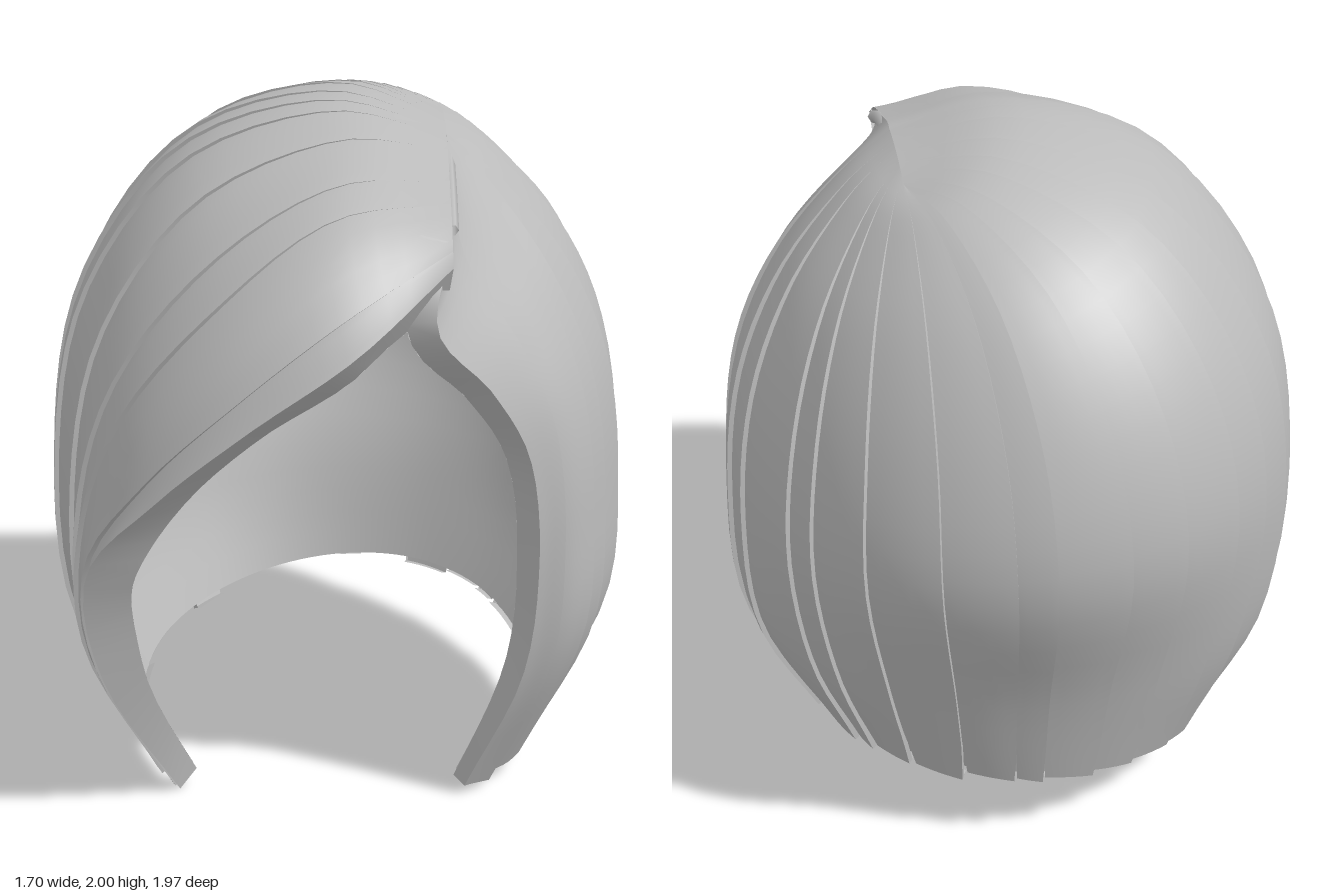
import * as THREE from 'three';
import { mergeGeometries } from 'three/addons/utils/BufferGeometryUtils.js';

const { lerp, smoothstep, clamp } = THREE.MathUtils;
const smooth = (pts) => new THREE.CatmullRomCurve3(pts, false, 'catmullrom', 0.5);
const toPoints = (list) => list.map((p) => new THREE.Vector3(...p));

// The parting runs over the head just left of the middle
const parting = (z) => new THREE.Vector3(0.31 + 0.05 * z, 1.92 - 0.42 * z * z, z);

// Strands that shape the front: fringe edge, fringe swell and left curtain edge
const fringeEdge = [[0.1, 1.5, 0.95], [-0.18, 1.3, 0.98], [-0.43, 1.08, 0.94], [-0.63, 0.82, 0.85], [-0.6, 0.45, 0.74], [-0.43, 0.01, 0.5]];
const fringeSwell = [[0.03, 1.75, 0.74], [-0.25, 1.53, 0.85], [-0.52, 1.22, 0.82], [-0.67, 0.85, 0.7], [-0.67, 0.48, 0.62], [-0.47, 0.02, 0.47]];
const curtainEdge = [[0.31, 1.53, 0.8], [0.46, 1.33, 0.71], [0.57, 1.1, 0.63], [0.6, 0.78, 0.61], [0.56, 0.42, 0.58], [0.4, 0.03, 0.5]];

// Any other strand arcs from the parting to the widest ellipse, then in to the hem ellipse
function strand(a) {
  const x = -Math.cos(a), s = -Math.sin(a);
  const top = parting(0.1 + 0.3 * s);
  const wide = new THREE.Vector3(0.835 * x, 0.96 - 0.06 * x - 0.07 * s, 0.965 * s);
  const hemZ = -0.02 + 0.73 * s;
  const back = Math.max(0, -s);
  const hem = new THREE.Vector3(0.61 * x, 0.09 - 0.17 * hemZ + 0.05 * x * back, hemZ);
  const tilt = x + (1.1 + 0.4 * x) * Math.max(0, s);
  const arc = (out, drop) => new THREE.Vector3(
    lerp(top.x, wide.x, out), lerp(top.y, wide.y, drop), lerp(top.z, wide.z, out));
  const nape = wide.clone().lerp(hem, 0.1 + 0.52 * back * back);
  nape.y = 0.49 + 0.1 * back;
  return [top, arc(0.3, 0.01 + 0.1 * tilt), arc(0.66, 0.2 + 0.13 * tilt), arc(0.91, 0.56 + 0.07 * tilt), wide, nape, hem];
}

const guides = [
  [parting(0.74), ...toPoints(fringeEdge)],
  [parting(0.57), ...toPoints(fringeSwell)],
];
for (let deg = -30; deg <= 210; deg += 24) guides.push(strand(deg * Math.PI / 180));
guides.push([parting(0.66), ...toPoints(curtainEdge)]);
const strands = guides.map(smooth);

// Hair surface: u runs round the head, v runs from the parting to the hem
const rings = new Map();
function surface(u, v) {
  const key = v.toFixed(5);
  if (!rings.has(key)) rings.set(key, smooth(strands.map((c) => c.getPoint(v))));
  return rings.get(key).getPoint(u);
}
function normalAt(u, v) {
  const e = 0.006;
  const cu = clamp(u, e, 1 - e), cv = clamp(v, 0.06, 1 - e);
  const du = surface(cu + e, cv).sub(surface(cu - e, cv));
  const dv = surface(cu, cv + e).sub(surface(cu, cv - e));
  return du.cross(dv).normalize();
}
const offset = (u, v, d) => surface(u, v).addScaledVector(normalAt(u, v), d);

// Hair thickness, fuller along the two front edges and thin at the hem
function depth(u, v) {
  const edge = Math.max(0, 1 - Math.min(u, 1 - u) / 0.06);
  return (0.04 + (u < 0.5 ? 0.08 : 0.05) * edge) * (1 - 0.45 * smoothstep(v, 0.75, 1));
}

// Grid of points f(s, t) to a surface
function sheet(nu, nv, f, flip = false) {
  const pos = [], idx = [];
  for (let j = 0; j <= nv; j++) for (let i = 0; i <= nu; i++) pos.push(...f(i / nu, j / nv).toArray());
  for (let j = 0; j < nv; j++) for (let i = 0; i < nu; i++) {
    const a = j * (nu + 1) + i, b = a + 1, c = a + nu + 1, d = c + 1;
    if (flip) idx.push(a, c, b, b, c, d);
    else idx.push(a, b, c, b, d, c);
  }
  const g = new THREE.BufferGeometry();
  g.setAttribute('position', new THREE.Float32BufferAttribute(pos, 3));
  g.setIndex(idx);
  g.computeVertexNormals();
  return g;
}

// One lock: outer face stepped up along one side, a blunt tip, and a full rim on the front edges
function lock(u0, u1, length) {
  const rows = 28;
  const across = (s, v) => {
    const gap = 0.04 * smoothstep(v, 0.93, 1);
    return lerp(u0, u1, gap + s * (1 - 2 * gap));
  };
  const outer = (s, t) => {
    const v = t * length;
    return offset(across(s, v), v, 0.014 * (1 - s) * smoothstep(v, 0.05, 0.45));
  };
  const below = (s, t, d) => offset(across(s, t * length), t * length, -d);
  const inner = (s, t) => below(s, t, depth(across(s, t * length), t * length));
  const step = (k, t) => outer(0, t).lerp(below(0, t, 0.004), k);
  const rim = (s) => (k, t) => outer(s, t).lerp(inner(s, t), k);
  const parts = [
    sheet(5, rows, outer),
    sheet(1, rows, u0 === 0 ? rim(0) : step, true),
    sheet(5, 1, (s, k) => outer(s, 1).lerp(inner(s, 1), k)),
  ];
  if (u1 === 1) parts.push(sheet(1, rows, rim(1)));
  return mergeGeometries(parts);
}

export function createModel() {
  const hair = new THREE.MeshStandardMaterial({ color: 0xbbbbbb, side: THREE.DoubleSide });
  hair.name = 'hair grey';
  const group = new THREE.Group();
  group.name = 'bobHair';
  const add = (geometry, name) => {
    const mesh = new THREE.Mesh(geometry, hair);
    mesh.name = name;
    group.add(mesh);
  };

  // Locks of uneven width and length
  let seed = 7;
  const rand = () => (seed = (seed * 16807) % 2147483647) / 2147483647;
  const count = 25;
  const cuts = [0];
  for (let i = 1; i < count; i++) cuts.push((i + (rand() - 0.5) * 0.7) / count);
  cuts.push(1);
  for (let i = 0; i < count; i++) {
    const length = i === 0 || i === count - 1 ? 1 : 0.985 + 0.015 * rand();
    add(lock(cuts[i], cuts[i + 1], length), 'lock' + (i + 1));
  }

  // Smooth lining inside the locks
  const lining = (u, t) => offset(u, t * 0.99, -depth(u, t * 0.99));
  add(sheet(90, 30, lining, true), 'lining');

  // Seam closing the parting
  const seam = [-0.2, 0, 0.2, 0.4, 0.58].map((z) => parting(z).setY(parting(z).y - 0.03));
  add(new THREE.TubeGeometry(smooth(seam), 24, 0.02, 6), 'partingSeam');

  return group;
}
